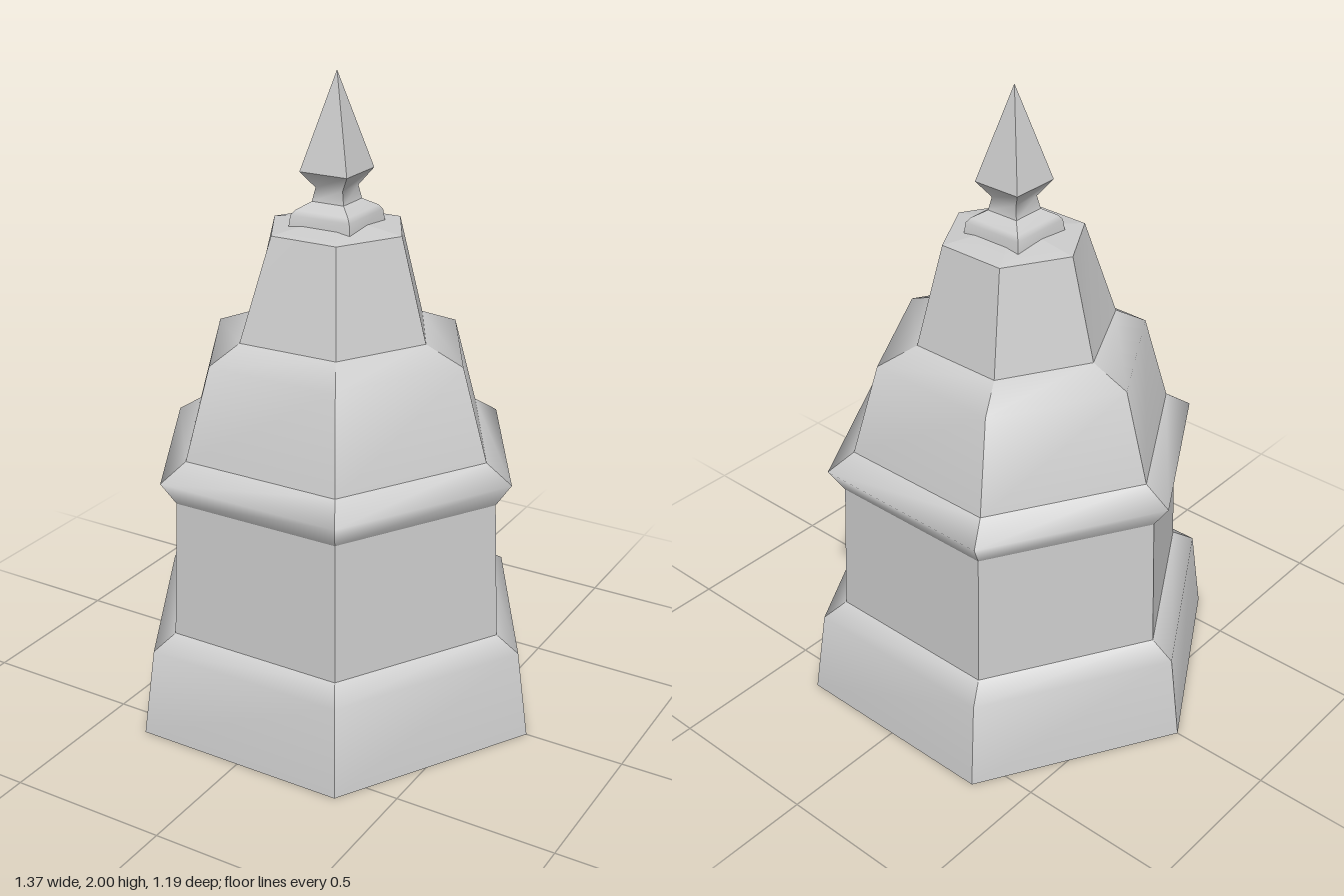
import * as THREE from 'three';

// Sided shell from a profile of [radius, y]; creases at every corner, smooth up each side.
function shell(sides, phase, profile, place = (p) => p) {
  const positions = [], indices = [];
  for (let s = 0; s < sides; s++) {
    const base = positions.length / 3;
    profile.forEach(([r, y], row) => {
      for (const k of [s, (s + 1) % sides]) {
        const t = phase + (k * Math.PI * 2) / sides;
        const p = place(new THREE.Vector3(r * Math.cos(t), y, r * Math.sin(t)));
        positions.push(p.x, p.y, p.z);
      }
      if (row > 0) {
        const a = base + (row - 1) * 2;
        indices.push(a, a + 2, a + 1, a + 1, a + 2, a + 3);
      }
    });
  }
  const geometry = new THREE.BufferGeometry();
  geometry.setAttribute('position', new THREE.Float32BufferAttribute(positions, 3));
  geometry.setIndex(indices);
  geometry.computeVertexNormals();
  return geometry;
}

// The upper ledge has one corner pulled slightly outwards.
function unevenLedge(p) {
  if (Math.abs(p.y - 1.22) < 0.001 && p.x < -0.1 && p.z > 0.1) p.set(-0.165, 1.225, 0.285);
  return p;
}

export function createModel() {
  const model = new THREE.Group();
  model.name = 'hexagonalSpire';
  const stone = new THREE.MeshStandardMaterial({ color: 0xcccccc });
  stone.name = 'pale grey stone';

  const add = (parent, name, geometry) => {
    const mesh = new THREE.Mesh(geometry, stone);
    mesh.name = name;
    parent.add(mesh);
  };

  // Hexagonal tower, one smooth strip per tier
  const tower = new THREE.Group();
  tower.name = 'tower';
  const tiers = {
    underside: [[0, 0], [0.685, 0]],
    plinth: [[0.685, 0], [0.645, 0.275], [0.57, 0.32]],
    lowerWall: [[0.57, 0.32], [0.55, 0.755]],
    cornice: [[0.55, 0.755], [0.6, 0.83], [0.515, 0.885]],
    middleTier: [[0.515, 0.885], [0.43, 1.17], [0.305, 1.22]],
    upperTier: [[0.305, 1.22], [0.22, 1.537]],
    roof: [[0.22, 1.537], [0.1, 1.555], [0, 1.555]],
  };
  for (const [name, profile] of Object.entries(tiers)) {
    add(tower, name, shell(6, 0, profile, unevenLedge));
  }
  model.add(tower);

  // Square finial, profiles given as half widths
  const finial = new THREE.Group();
  finial.name = 'finial';
  const square = (profile) =>
    shell(4, Math.PI / 4, profile.map(([half, y]) => [half * Math.SQRT2, y]));
  add(finial, 'finialFoot', square([[0.105, 1.54], [0.1, 1.58], [0.09, 1.594], [0.054, 1.617]]));
  add(finial, 'finialNeck', square([[0.054, 1.617], [0.046, 1.658], [0.08, 1.708]]));
  add(finial, 'finialPoint', square([[0.08, 1.708], [0, 2]]));
  model.add(finial);

  return model;
}
